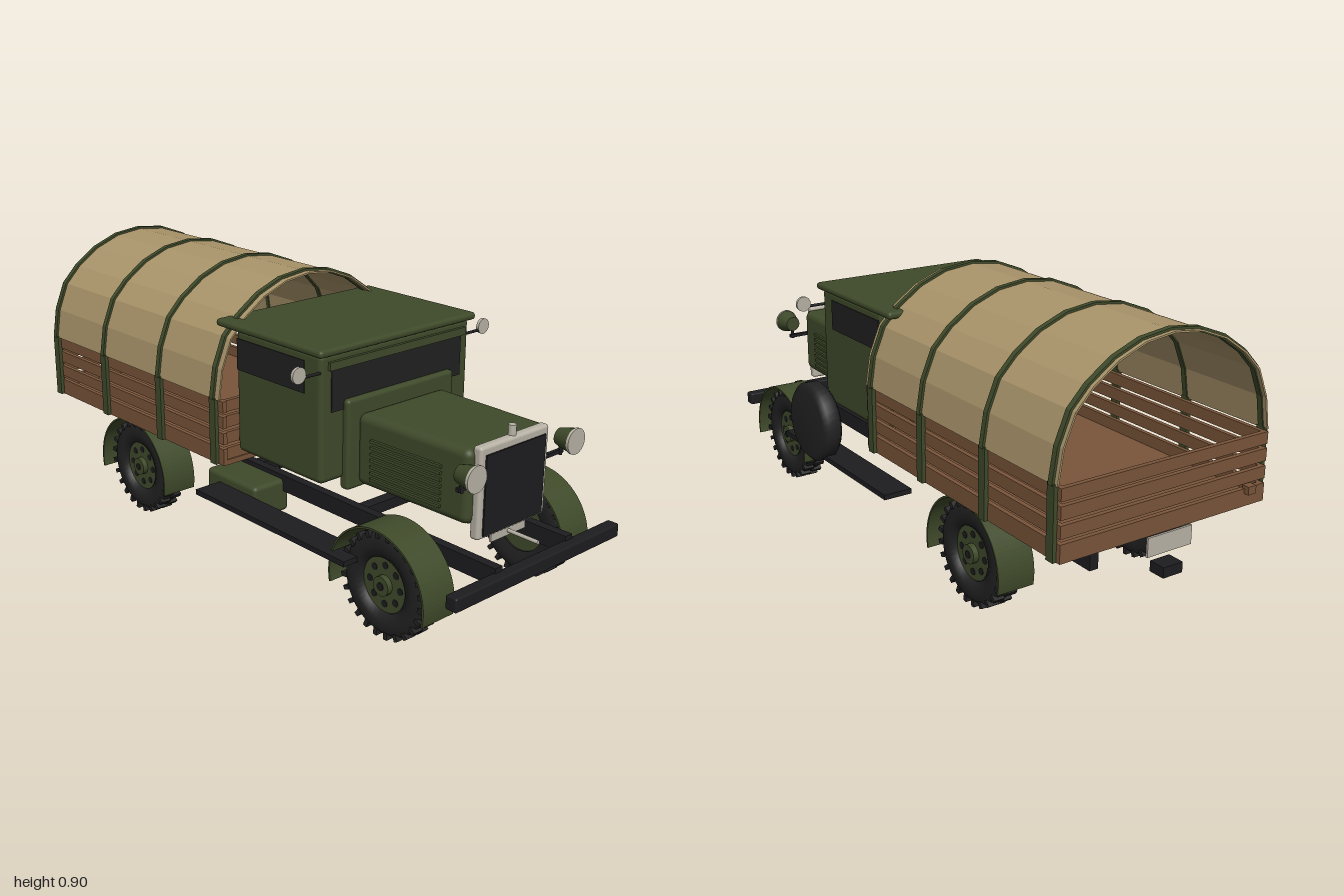
import * as THREE from 'three';
import { RoundedBoxGeometry } from 'three/addons/geometries/RoundedBoxGeometry.js';

const paint = (name, color, double) => {
  const m = new THREE.MeshStandardMaterial({ color });
  m.name = name;
  if (double) m.side = THREE.DoubleSide;
  return m;
};

export function createModel() {
  const truck = new THREE.Group();
  truck.name = 'truck';
  const green = paint('army green', 0x3f4a2a, true);
  const canvas = paint('tan canvas', 0xa9946a);
  canvas.flatShading = true;
  const wood = paint('brown wood', 0x7a553a);
  const black = paint('chassis black', 0x1d1d20);
  const rubber = paint('tyre rubber', 0x222222);
  const glass = paint('dark glass', 0x212122);
  const metal = paint('pale metal', 0xb9b3a6);

  const add = (name, geo, mat, x = 0, y = 0, z = 0, parent = truck) => {
    const m = new THREE.Mesh(geo, mat);
    m.name = name;
    m.position.set(x, y, z);
    parent.add(m);
    return m;
  };
  // Boxes given by their limits; r rounds the edges
  const box = (name, mat, x0, x1, y0, y1, z0, z1, r = 0) => {
    const s = [x1 - x0, y1 - y0, z1 - z0];
    const geo = r ? new RoundedBoxGeometry(...s, 3, r) : new THREE.BoxGeometry(...s);
    return add(name, geo, mat, (x0 + x1) / 2, (y0 + y1) / 2, (z0 + z1) / 2);
  };
  // Same box on both sides of the truck
  const pair = (name, mat, x0, x1, y0, y1, z0, z1, r = 0) => {
    box(name, mat, x0, x1, y0, y1, z0, z1, r);
    box(name, mat, x0, x1, y0, y1, -z1, -z0, r);
  };
  const rodX = (r0, r1, len, n = 24) => new THREE.CylinderGeometry(r1, r0, len, n).rotateZ(-Math.PI / 2);
  const discZ = (r, len, n = 32) => new THREE.CylinderGeometry(r, r, len, n).rotateX(Math.PI / 2);

  // Chassis
  pair('chassisRail', black, -0.85, 0.97, 0.21, 0.265, 0.14, 0.17);
  for (const x of [-0.72, -0.1, 0.4]) box('crossMember', black, x - 0.02, x + 0.02, 0.215, 0.25, -0.15, 0.15);
  box('bumper', black, 0.96, 1, 0.207, 0.25, -0.36, 0.36, 0.006);
  pair('runningBoard', black, -0.1, 0.6, 0.203, 0.22, 0.29, 0.388);
  box('toolBox', green, -0.17, 0.08, 0.138, 0.25, 0.145, 0.289, 0.015);
  box('towHitch', black, -1, -0.945, 0.213, 0.245, -0.035, 0.035);
  box('rearPlate', metal, -0.982, -0.975, 0.28, 0.338, -0.08, 0.08);
  box('tailLamp', wood, -0.985, -0.96, 0.375, 0.4, 0.29, 0.32);

  // Cargo bed
  box('bedFloor', wood, -0.965, 0.03, 0.335, 0.352, -0.365, 0.365);
  for (const [y0, y1] of [[0.335, 0.39], [0.405, 0.443], [0.458, 0.497], [0.51, 0.547]]) {
    pair('sideSlat', wood, -0.965, 0.03, y0, y1, 0.355, 0.37);
    box('tailgateSlat', wood, -0.968, -0.953, y0, y1, -0.37, 0.37);
    box('headboardSlat', wood, 0.01, 0.025, y0, y1, -0.37, 0.37);
  }

  // Canvas cover and hoops, extruded along x from one arch
  const half = [[0.378, 0.55], [0.362, 0.65], [0.325, 0.74], [0.27, 0.797], [0.19, 0.852], [0.1, 0.887], [0, 0.899]];
  const arch = [...half, ...half.slice(0, -1).reverse().map(([z, y]) => [-z, y])];
  const archGeo = (outer, inner, len) => {
    const at = (k) => arch.map(([z, y]) => new THREE.Vector2(z * k, 0.55 + (y - 0.55) * k));
    const shape = new THREE.Shape([...at(outer), ...at(inner).reverse()]);
    return new THREE.ExtrudeGeometry(shape, { depth: len, bevelEnabled: false }).rotateY(Math.PI / 2);
  };
  add('canvasCover', archGeo(1, 0.985, 0.98), canvas, -0.96);
  for (const x of [-0.938, -0.628, -0.302, -0.01]) {
    add('coverHoop', archGeo(1.02, 0.975, 0.018), green, x - 0.009);
    pair('bedPost', green, x - 0.015, x + 0.015, 0.335, 0.555, 0.368, 0.382);
  }

  // Cab
  box('cab', green, 0.03, 0.42, 0.375, 0.775, -0.315, 0.315, 0.018);
  box('cabRoof', green, -0.05, 0.435, 0.768, 0.792, -0.33, 0.33, 0.011);
  pair('sideWindow', glass, 0.04, 0.35, 0.645, 0.745, 0.312, 0.318);
  box('windscreen', glass, 0.417, 0.423, 0.595, 0.727, -0.275, 0.275);
  box('windscreenVisor', green, 0.415, 0.43, 0.725, 0.75, -0.287, 0.287);
  box('cowl', green, 0.405, 0.442, 0.34, 0.625, -0.227, 0.227, 0.012);

  // Bonnet, narrowing slightly to the front
  const bonnet = new RoundedBoxGeometry(0.43, 0.225, 0.366, 4, 0.025);
  const p = bonnet.attributes.position;
  for (let i = 0; i < p.count; i++) p.setZ(i, p.getZ(i) * (0.965 - p.getX(i) * 0.16));
  add('bonnet', bonnet, green, 0.645, 0.463, 0);
  for (const s of [-1, 1]) {
    for (let i = 0; i < 7; i++) {
      const louvre = add('louvre', new THREE.BoxGeometry(0.27, 0.009, 0.014), green, 0.63, 0.385 + i * 0.02, s * 0.179);
      louvre.rotation.y = s * 0.03;
    }
  }

  // Radiator
  box('radiatorShell', metal, 0.85, 0.882, 0.307, 0.585, -0.147, 0.147, 0.01);
  box('radiatorGrille', black, 0.88, 0.887, 0.318, 0.56, -0.128, 0.128);
  add('radiatorCap', new THREE.CylinderGeometry(0.012, 0.012, 0.035, 16), metal, 0.865, 0.598, 0);
  box('radiatorBase', metal, 0.865, 0.872, 0.28, 0.31, -0.075, 0.075);
  add('startingCrank', rodX(0.006, 0.006, 0.11, 10), metal, 0.925, 0.294, 0);
  box('lampBar', black, 0.865, 0.877, 0.476, 0.488, -0.228, 0.228);

  // Headlamps and mirrors
  for (const s of [-1, 1]) {
    const z = s * 0.215;
    add('headlampBody', rodX(0.026, 0.039, 0.055), green, 0.895, 0.527, z);
    add('headlampRim', rodX(0.04, 0.04, 0.008), metal, 0.925, 0.527, z);
    add('headlampStem', new THREE.CylinderGeometry(0.006, 0.006, 0.05, 8), black, 0.875, 0.497, z);
    add('mirrorArm', new THREE.CylinderGeometry(0.005, 0.005, 0.09, 8).rotateX(Math.PI / 2), black, 0.41, 0.72, s * 0.345);
    add('mirror', rodX(0.025, 0.025, 0.01), metal, 0.41, 0.73, s * 0.392);
  }

  // Wheels and mudguards
  const tyreProfile = [[0.085, -0.026], [0.115, -0.034], [0.145, -0.033], [0.155, -0.022],
    [0.155, 0.022], [0.145, 0.033], [0.115, 0.034], [0.085, 0.026], [0.085, -0.026]]
    .map(([r, h]) => new THREE.Vector2(r, h));
  const tyreGeo = new THREE.LatheGeometry(tyreProfile, 40).rotateX(Math.PI / 2);
  const lugGeo = new THREE.BoxGeometry(0.014, 0.022, 0.036);
  // Shell bent over the wheel, built as a thick arc
  const guardShape = new THREE.Shape();
  guardShape.absarc(0, 0, 0.19, -0.2, Math.PI + 0.2, false);
  guardShape.absarc(0, 0, 0.184, Math.PI + 0.2, -0.2, true);
  const guardGeo = new THREE.ExtrudeGeometry(guardShape, { depth: 0.125, bevelEnabled: false, curveSegments: 24 });

  for (const x of [-0.5, 0.7]) for (const s of [-1, 1]) {
    const wheel = new THREE.Group();
    wheel.name = 'wheel';
    wheel.position.set(x, 0.165, s * 0.302);
    if (s < 0) wheel.rotation.y = Math.PI;
    truck.add(wheel);
    add('tyre', tyreGeo, rubber, 0, 0, 0, wheel);
    for (let i = 0; i < 48; i++) {
      const a = (Math.floor(i / 2) + (i % 2) / 2) * Math.PI / 12;
      const lug = add('treadLug', lugGeo, rubber, Math.cos(a) * 0.153, Math.sin(a) * 0.153, i % 2 ? 0.018 : -0.018, wheel);
      lug.rotation.z = a - Math.PI / 2;
    }
    add('wheelDisc', discZ(0.088, 0.04), green, 0, 0, 0, wheel);
    add('hubCap', discZ(0.03, 0.02, 20), green, 0, 0, 0.028, wheel);
    add('hubNut', discZ(0.012, 0.01, 12), black, 0, 0, 0.036, wheel);
    for (let i = 0; i < 8; i++) {
      const a = i * Math.PI / 4;
      add('discHole', discZ(0.011, 0.004, 12), black, Math.cos(a) * 0.06, Math.sin(a) * 0.06, 0.02, wheel);
    }
    add('mudguard', guardGeo, green, x, 0.157, s > 0 ? 0.24 : -0.365);
  }

  // Spare wheel on the far side
  const spare = new THREE.LatheGeometry([[0, -0.036], [0.12, -0.036], [0.137, -0.02], [0.137, 0.02], [0.12, 0.036], [0, 0.036]]
    .map(([r, h]) => new THREE.Vector2(r, h)), 36).rotateX(Math.PI / 2);
  add('spareWheel', spare, rubber, 0.392, 0.317, -0.372);

  return truck;
}
